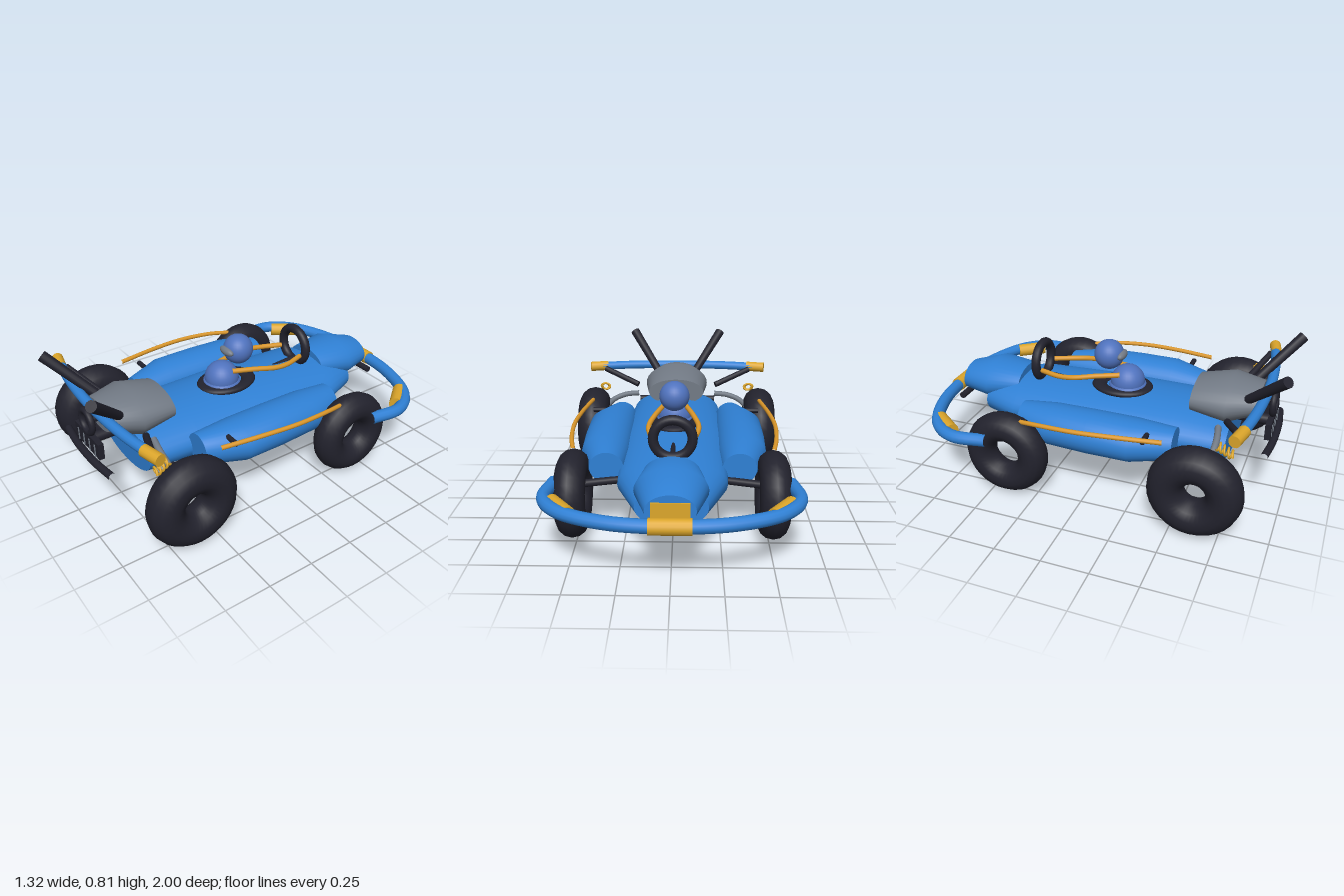
import * as THREE from 'three';

const mat = (name, color) => Object.assign(new THREE.MeshStandardMaterial({ color }), { name });
const V = (p) => new THREE.Vector3(...p);

export function createModel() {
  const blue = mat('body blue', 0x2f80d4);
  const suit = mat('driver blue', 0x4f72bd);
  const gold = mat('gold', 0xdca62b);
  const amber = mat('amber rail', 0xd9962a);
  const black = mat('rubber black', 0x22222d);
  const grey = mat('cowl grey', 0x727a85);
  const root = new THREE.Group();
  root.name = 'buggy';

  function add(name, geo, material, pos = [0, 0, 0], scale = [1, 1, 1]) {
    const m = new THREE.Mesh(geo, material);
    m.name = name;
    m.position.set(...pos);
    m.scale.set(...scale);
    root.add(m);
    return m;
  }

  // Straight rod between two points
  function rod(name, a, b, r, material, rEnd = r) {
    const d = V(b).sub(V(a));
    const m = add(name, new THREE.CylinderGeometry(rEnd, r, d.length(), 14), material);
    m.position.copy(V(a)).addScaledVector(d, 0.5);
    m.quaternion.setFromUnitVectors(new THREE.Vector3(0, 1, 0), d.normalize());
    return m;
  }

  // Bent tube through points
  const tube = (name, pts, r, material, seg = 28) =>
    add(name, new THREE.TubeGeometry(new THREE.CatmullRomCurve3(pts.map(V)), seg, r, 12), material);

  // Loft of elliptical sections [z, cx, cy, rx, ry] with flat ends
  function loft(name, sections, material) {
    const n = 32, pos = [], idx = [];
    const ring = ([z, cx, cy, rx, ry]) => {
      const start = pos.length / 3;
      for (let k = 0; k < n; k++) {
        const t = (k / n) * Math.PI * 2;
        pos.push(cx + rx * Math.cos(t), cy + ry * Math.sin(t), z);
      }
      return start;
    };
    const starts = sections.map(ring);
    for (let i = 0; i + 1 < starts.length; i++) {
      for (let k = 0; k < n; k++) {
        const a = starts[i] + k, b = starts[i] + (k + 1) % n;
        const d = starts[i + 1] + k, c = starts[i + 1] + (k + 1) % n;
        idx.push(a, b, c, a, c, d);
      }
    }
    const first = ring(sections[0]), last = ring(sections[sections.length - 1]);
    for (let k = 1; k < n - 1; k++) {
      idx.push(first, first + k + 1, first + k);
      idx.push(last, last + k, last + k + 1);
    }
    const g = new THREE.BufferGeometry();
    g.setAttribute('position', new THREE.Float32BufferAttribute(pos, 3));
    g.setIndex(idx);
    g.computeVertexNormals();
    return add(name, g, material);
  }

  // Hull, nose and engine cowl
  loft('hull', [
    [-0.72, 0, 0.315, 0.18, 0.105], [-0.5, 0, 0.335, 0.28, 0.13], [0, 0, 0.34, 0.3, 0.14],
    [0.4, 0, 0.34, 0.29, 0.14], [0.7, 0, 0.34, 0.27, 0.12],
  ], blue);
  loft('nose', [
    [-0.9, 0, 0.385, 0.12, 0.08], [-0.72, 0, 0.405, 0.18, 0.115], [-0.53, 0, 0.42, 0.14, 0.08],
  ], blue);
  loft('engineCowl', [
    [0.48, 0, 0.52, 0.17, 0.08], [0.67, 0, 0.525, 0.195, 0.125], [0.83, 0, 0.545, 0.14, 0.075],
  ], grey);

  // Cockpit rim and driver
  const rim = add('cockpitRim', new THREE.TorusGeometry(0.1, 0.033, 12, 36), black, [0, 0.475, 0.055], [1, 1.32, 0.6]);
  rim.rotation.x = Math.PI / 2;
  const collar = add('driverCollar', new THREE.TorusGeometry(0.085, 0.02, 10, 32), suit, [0, 0.487, 0.085]);
  collar.rotation.x = Math.PI / 2;
  add('driverTorso', new THREE.SphereGeometry(0.095, 28, 18), suit, [0, 0.51, 0.085]);
  add('driverHead', new THREE.SphereGeometry(0.083, 28, 18), suit, [0, 0.653, -0.025]);
  add('visor', new THREE.SphereGeometry(1, 24, 14), grey, [0, 0.66, 0.05], [0.056, 0.024, 0.025]);

  // Steering
  add('steeringWheel', new THREE.TorusGeometry(0.1, 0.026, 12, 36), black, [0, 0.555, -0.43]);
  rod('steeringColumn', [0, 0.47, -0.43], [0, 0.455, -0.22], 0.014, black);

  // Mirrored parts
  for (const s of [1, -1]) {
    const side = s > 0 ? 'left' : 'right';
    const P = (x, y, z) => [s * x, y, z];

    loft(side + 'SidePod', [
      [-0.39, s * 0.345, 0.375, 0.09, 0.085], [-0.2, s * 0.37, 0.378, 0.13, 0.108],
      [0.02, s * 0.375, 0.378, 0.135, 0.112], [0.25, s * 0.375, 0.378, 0.135, 0.11],
      [0.46, s * 0.335, 0.375, 0.085, 0.085],
    ], blue);

    // Wheels stand upright in the yz plane
    for (const [name, x, y, z, r, t] of [
      ['RearWheel', 0.53, 0.252, 0.62, 0.15, 0.095], ['FrontWheel', 0.518, 0.243, -0.413, 0.152, 0.08],
    ]) {
      const w = add(side + name, new THREE.TorusGeometry(r, t, 14, 32), black, P(x, y, z));
      w.rotation.y = Math.PI / 2;
    }

    // Rails
    tube(side + 'SideRail', [
      P(0.525, 0.447, -0.32), P(0.55, 0.463, -0.2), P(0.565, 0.475, 0), P(0.55, 0.48, 0.2), P(0.515, 0.48, 0.44),
    ], 0.012, amber);
    tube(side + 'CockpitRail', [
      P(0.085, 0.525, -0.4), P(0.125, 0.53, -0.28), P(0.133, 0.54, -0.19), P(0.105, 0.557, -0.07), P(0.065, 0.567, 0.06),
    ], 0.014, amber);

    // Suspension
    rod(side + 'RearAxle', P(0.3, 0.31, 0.59), P(0.48, 0.315, 0.645), 0.02, black);
    rod(side + 'FrontAxle', P(0.28, 0.31, -0.39), P(0.46, 0.31, -0.44), 0.02, black);
    rod(side + 'BarStrut', P(0.25, 0.505, 0.7), P(0.47, 0.585, 0.79), 0.018, black);
    rod(side + 'PodStub', P(0.42, 0.45, 0.335), P(0.5, 0.45, 0.335), 0.014, black);
    tube(side + 'SuspensionArm', [
      P(0.24, 0.46, 0.655), P(0.33, 0.445, 0.67), P(0.41, 0.41, 0.67), P(0.47, 0.35, 0.66),
    ], 0.017, grey, 16);

    // Coil spring
    const coil = [];
    for (let i = 0; i <= 48; i++) {
      const u = i / 48, a = u * 4 * Math.PI * 2;
      coil.push(P(0.48 - 0.02 * u + 0.025 * Math.cos(a), 0.465 + 0.025 * u + 0.02 * Math.sin(a), 0.785 - 0.085 * u));
    }
    tube(side + 'Spring', coil, 0.006, gold, 96);

    // Exhaust, rear bar sleeve, bumper sleeve
    rod(side + 'Exhaust', P(0.08, 0.525, 0.72), P(0.285, 0.795, 0.975), 0.023, black, 0.029);
    rod(side + 'RearBarSleeve', P(0.46, 0.597, 0.822), P(0.57, 0.596, 0.797), 0.031, gold);
    rod(side + 'BumperSleeve', P(0.475, 0.337, -0.845), P(0.575, 0.337, -0.71), 0.039, gold);
  }

  // Rear bar, slightly bowed
  tube('rearBar', [
    [-0.565, 0.596, 0.798], [-0.3, 0.598, 0.842], [0, 0.598, 0.858], [0.3, 0.598, 0.842], [0.565, 0.596, 0.798],
  ], 0.027, blue);

  // Front bumper hoop with centre sleeve, plate and mount
  const half = [[0.6, -0.49], [0.62, -0.68], [0.53, -0.82], [0.29, -0.93]];
  tube('frontBumper', [
    ...half.map(([x, z]) => [-x, 0.34, z]), [0, 0.34, -0.96], ...half.reverse().map(([x, z]) => [x, 0.34, z]),
  ], 0.034, blue, 56);
  rod('bumperCentreSleeve', [-0.1, 0.34, -0.96], [0.1, 0.34, -0.96], 0.04, gold);
  add('bumperPlate', new THREE.BoxGeometry(0.18, 0.08, 0.008), gold, [0, 0.39, -0.907]);
  rod('bumperMount', [-0.17, 0.315, -0.89], [0.17, 0.315, -0.89], 0.018, black);

  // Engine rear: fan ring, finned block and lower bar
  add('fanRing', new THREE.TorusGeometry(0.061, 0.017, 12, 32), black, [0, 0.527, 0.893]);
  add('engineBlock', new THREE.BoxGeometry(0.268, 0.09, 0.03), black, [0, 0.417, 0.89]);
  for (let i = 0; i < 4; i++) {
    add('coolingSlot', new THREE.BoxGeometry(0.008, 0.07, 0.006), grey, [(i - 1.5) * 0.062, 0.408, 0.906]);
  }
  rod('fanMount', [0, 0.53, 0.8], [0, 0.53, 0.89], 0.02, black);
  rod('blockMount', [0, 0.42, 0.68], [0, 0.42, 0.88], 0.03, black);
  tube('lowerBar', [
    [-0.255, 0.345, 0.9], [-0.12, 0.345, 0.916], [0, 0.345, 0.92], [0.12, 0.345, 0.916], [0.255, 0.345, 0.9],
  ], 0.02, black, 20);

  return root;
}
